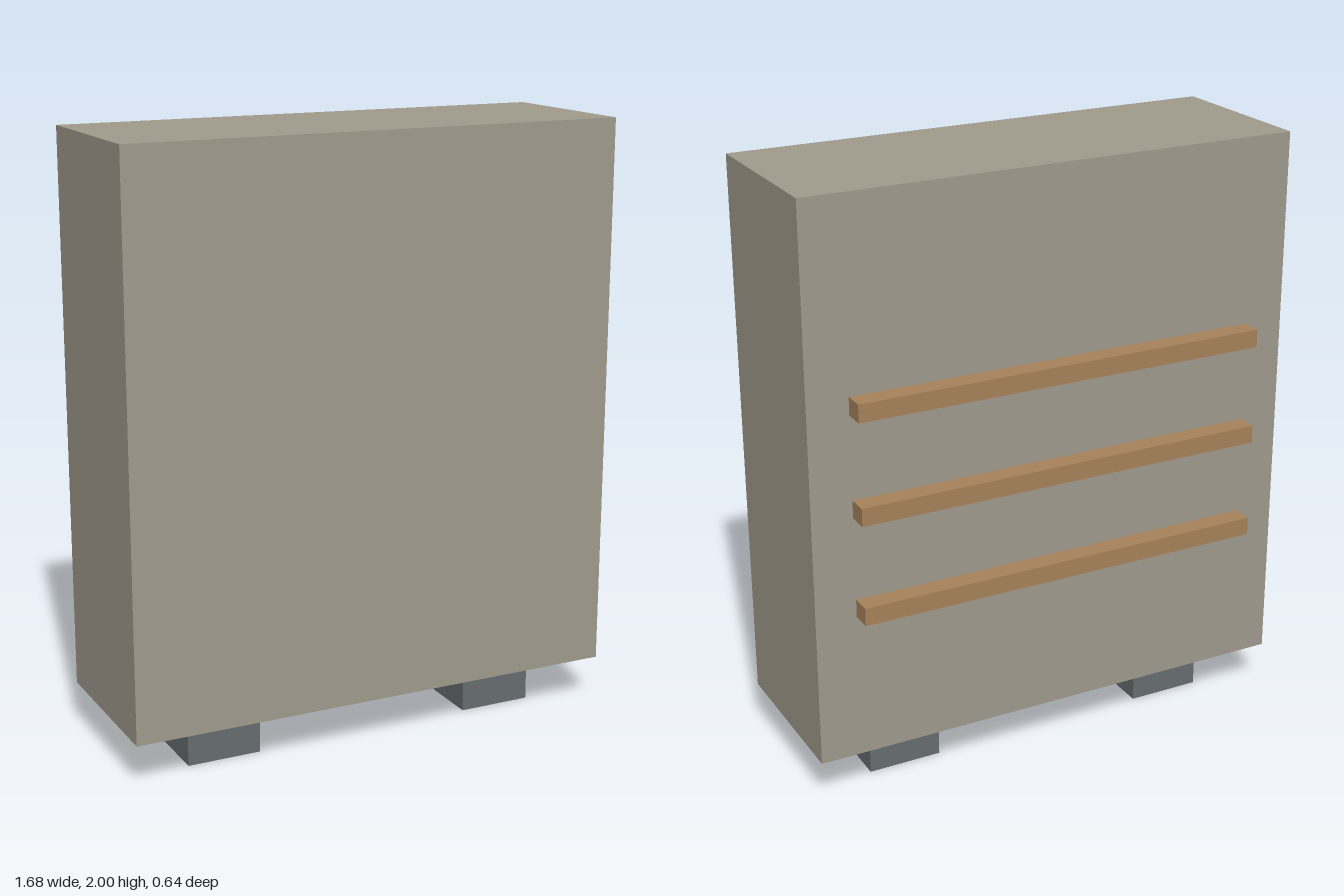
import * as THREE from 'three';

const paint = (color) => new THREE.MeshStandardMaterial({ color });

// A named box given by its size and centre
function box(name, size, centre, material) {
  const mesh = new THREE.Mesh(new THREE.BoxGeometry(...size), material);
  mesh.name = name;
  mesh.position.set(...centre);
  return mesh;
}

export function createModel() {
  const model = new THREE.Group();
  model.name = 'slattedPanel';
  const stone = paint(0xa09a8c);
  const wood = paint(0xa5825a);
  const metal = paint(0x666c70);

  // Main upright slab
  model.add(box('body', [1.68, 1.846, 0.57], [0, 1.077, 0.035], stone));

  // Two feet under the slab
  for (const [side, name] of [[1, 'leftFoot'], [-1, 'rightFoot']]) {
    model.add(box(name, [0.25, 0.154, 0.35], [side * 0.503, 0.077, 0.035], metal));
  }

  // Three horizontal slats across the back
  for (let i = 0; i < 3; i++) {
    model.add(box(`backSlat${i + 1}`, [1.406, 0.06, 0.07], [0, 0.676 + i * 0.336, -0.285], wood));
  }
  return model;
}
